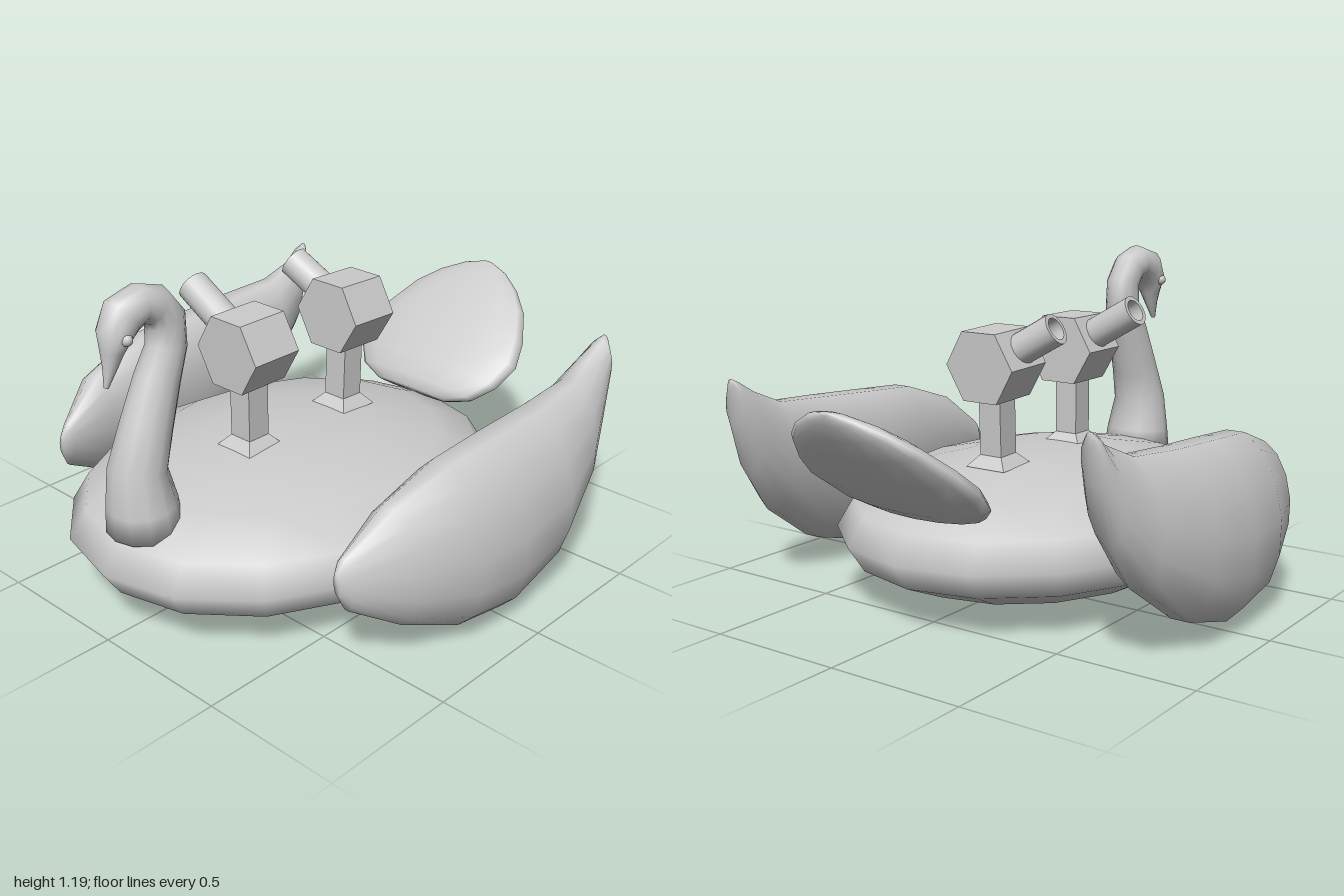
import * as THREE from 'three';

const grey = new THREE.MeshStandardMaterial({ color: 0xcccccc });
const faceted = new THREE.MeshStandardMaterial({ color: 0xcccccc, flatShading: true });

function addMesh(parent, name, geometry, material = grey) {
  const mesh = new THREE.Mesh(geometry, material);
  mesh.name = name;
  parent.add(mesh);
  return mesh;
}

// Closed smooth skin over elliptical rings; each section is
// { x, y, z, rx, rv, lean, dir }, with rx across x and rv across the path.
function loft(sections, n) {
  const X = new THREE.Vector3(1, 0, 0);
  const centres = sections.map(s => new THREE.Vector3(s.x || 0, s.y, s.z));
  const pos = [], idx = [];
  sections.forEach((s, i) => {
    const t = s.dir || centres[Math.min(i + 1, centres.length - 1)].clone()
      .sub(centres[Math.max(i - 1, 0)]).normalize();
    const v = t.clone().cross(X).normalize();
    for (let j = 0; j < n; j++) {
      const a = j / n * Math.PI * 2;
      const p = centres[i].clone()
        .addScaledVector(X, Math.cos(a) * s.rx + Math.sin(a) * (s.lean || 0))
        .addScaledVector(v, Math.sin(a) * s.rv);
      pos.push(p.x, p.y, p.z);
    }
  });
  const last = sections.length - 1;
  for (let i = 0; i < last; i++) for (let j = 0; j < n; j++) {
    const k = (j + 1) % n;
    const a = i * n + j, b = i * n + k, c = b + n, d = a + n;
    idx.push(a, b, c, a, c, d);
  }
  const start = pos.length / 3;
  pos.push(...centres[0].toArray(), ...centres[last].toArray());
  for (let j = 0; j < n; j++) {
    const k = (j + 1) % n;
    idx.push(start, k, j, start + 1, last * n + j, last * n + k);
  }
  const g = new THREE.BufferGeometry();
  g.setAttribute('position', new THREE.Float32BufferAttribute(pos, 3));
  g.setIndex(idx);
  g.computeVertexNormals();
  return g;
}

function wing(side) {
  // z, top y, bottom y, inner x, outer x
  const rows = [
    [0.64, 0.39, 0.31, 0.67, 0.70], [0.61, 0.43, 0.25, 0.65, 0.73],
    [0.45, 0.56, 0.155, 0.63, 0.85], [0.22, 0.64, 0.06, 0.615, 0.925],
    [0, 0.655, 0.03, 0.61, 0.94], [-0.25, 0.67, 0.10, 0.62, 0.935],
    [-0.48, 0.685, 0.26, 0.645, 0.87], [-0.61, 0.74, 0.43, 0.67, 0.81],
    [-0.67, 0.78, 0.62, 0.695, 0.79], [-0.69, 0.79, 0.74, 0.725, 0.755]
  ];
  const dir = new THREE.Vector3(0, 0, -1);
  return loft(rows.map(([z, top, bottom, inner, outer]) => ({
    x: side * (inner + outer) / 2, y: (top + bottom) / 2, z,
    rx: (outer - inner) / 2, rv: (top - bottom) / 2,
    lean: side * 0.05 * (top - bottom), dir
  })), 14);
}

function turret(z, tilt, yaw, reach) {
  const g = new THREE.Group();
  g.name = 'turret';
  g.position.set(0, 0.48, z);
  g.rotation.x = tilt;

  // Square flared foot and post
  const foot = new THREE.CylinderGeometry(0.064, 0.115, 0.04, 4).rotateY(Math.PI / 4);
  addMesh(g, 'turretFoot', foot, faceted).position.y = 0.02;
  addMesh(g, 'turretPost', new THREE.BoxGeometry(0.09, 0.26, 0.09)).position.y = 0.14;

  // Six-sided housing lying along z
  const housing = new THREE.CylinderGeometry(0.14, 0.14, 0.2, 6)
    .rotateY(Math.PI / 2).rotateX(Math.PI / 2);
  // Corners point sideways
  housing.rotateZ(Math.PI * 2);
  addMesh(g, 'turretHousing', housing, faceted).position.y = 0.362;

  // Hollow barrel leaving the upper right face
  const profile = [[0.04, 0.05], [0.057, 0.05], [0.057, reach], [0.041, reach], [0.041, 0.06]]
    .map(([r, y]) => new THREE.Vector2(r, y));
  const tube = new THREE.Group();
  tube.name = 'barrelMount';
  tube.position.y = 0.362;
  tube.rotation.set(0, yaw, Math.PI / 3);
  g.add(tube);
  // Each profile run is turned separately to keep rims crisp
  for (let i = 0; i < profile.length - 1; i++) {
    addMesh(tube, 'barrel', new THREE.LatheGeometry([profile[i], profile[i + 1]], 16));
  }
  addMesh(tube, 'barrelFloor', new THREE.CircleGeometry(0.041, 16).rotateX(-Math.PI / 2))
    .position.y = 0.12;
  return g;
}

export function createModel() {
  const model = new THREE.Group();
  model.name = 'swanBoat';

  // Rounded hull
  const hull = new THREE.SphereGeometry(1, 16, 8).scale(0.68, 0.247, 0.85);
  addMesh(model, 'body', hull).position.set(0, 0.252, 0.15);

  // Wings
  addMesh(model, 'leftWing', wing(1));
  addMesh(model, 'rightWing', wing(-1));

  // Curved neck, head and beak: y, z, half width, half depth
  const neck = [
    [0.36, 0.82, 0.135, 0.122], [0.45, 0.825, 0.122, 0.118], [0.58, 0.835, 0.10, 0.098],
    [0.71, 0.79, 0.086, 0.09], [0.86, 0.735, 0.073, 0.08], [0.96, 0.692, 0.064, 0.071],
    [1.05, 0.693, 0.06, 0.071], [1.105, 0.735, 0.06, 0.068], [1.125, 0.795, 0.062, 0.066],
    [1.105, 0.86, 0.068, 0.07], [1.05, 0.895, 0.066, 0.05], [1.0, 0.905, 0.042, 0.036],
    [0.95, 0.916, 0.024, 0.024], [0.89, 0.935, 0.008, 0.008]
  ].map(([y, z, rx, rv]) => ({ y, z, rx, rv }));
  addMesh(model, 'neckAndHead', loft(neck, 12));
  for (const side of [-1, 1]) {
    addMesh(model, 'eye', new THREE.SphereGeometry(0.02, 10, 8))
      .position.set(side * 0.057, 1.05, 0.89);
  }

  // Leaf-shaped upswept tail: y, z, half width, half thickness
  const dir = new THREE.Vector3(0, 0.67, -0.74).normalize();
  const tail = [
    [0.40, -0.53, 0.17, 0.025], [0.425, -0.56, 0.27, 0.05], [0.475, -0.62, 0.335, 0.066],
    [0.54, -0.70, 0.365, 0.07], [0.61, -0.78, 0.335, 0.067], [0.69, -0.87, 0.27, 0.056],
    [0.745, -0.93, 0.19, 0.042], [0.785, -0.975, 0.10, 0.026], [0.805, -0.995, 0.02, 0.008]
  ].map(([y, z, rx, rv]) => ({ y, z, rx, rv, dir }));
  addMesh(model, 'tail', loft(tail, 16));

  // Two deck turrets
  model.add(turret(0.34, 0, 0, 0.31));
  model.add(turret(-0.13, -0.035, 0.14, 0.27));
  return model;
}
